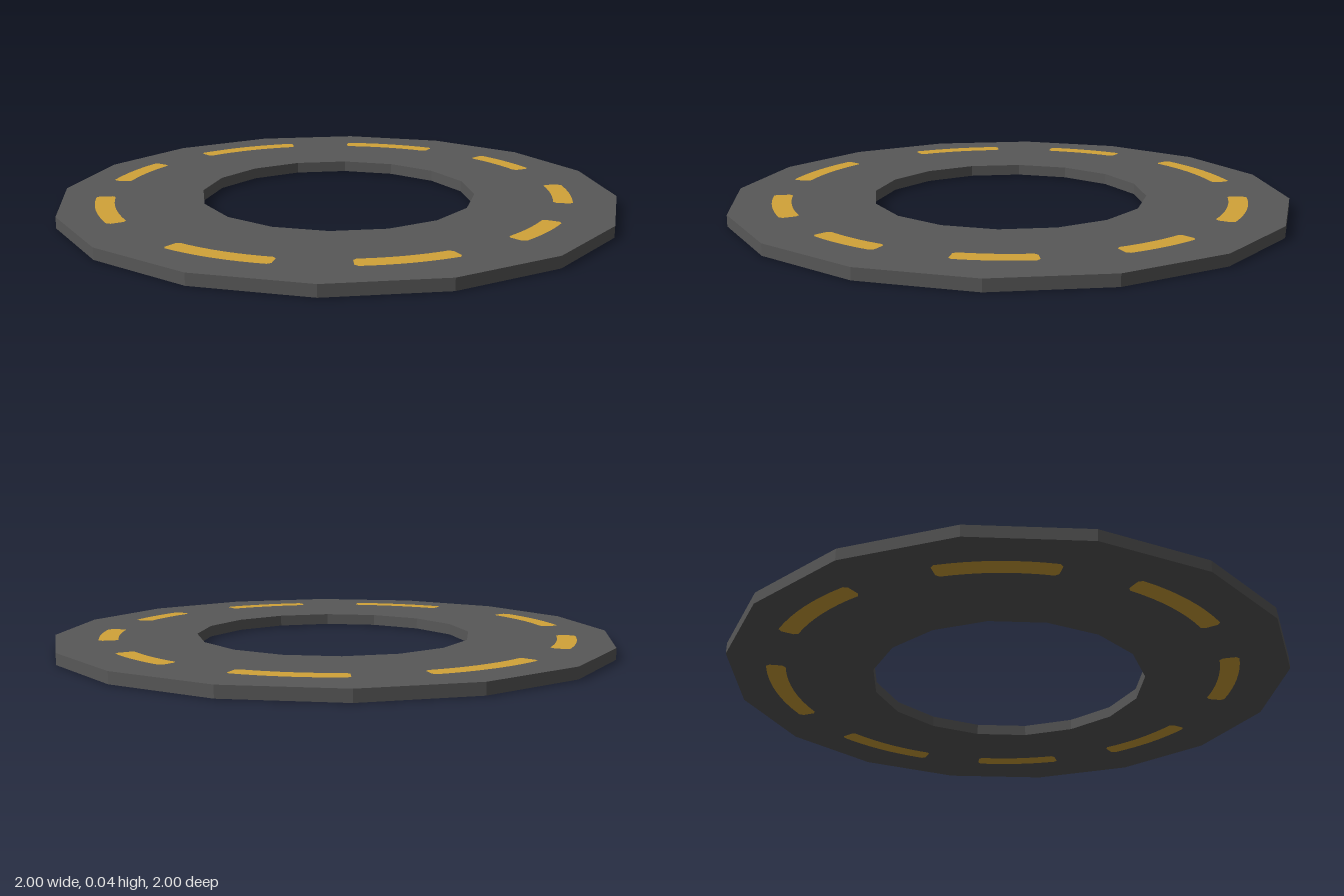
import * as THREE from 'three';

const TAU = Math.PI * 2;
const SIDES = 16;
const THICKNESS = 0.04;
const SKIN = 0.0015; // how far the painted dashes sit off the faces

const darkGrey = new THREE.MeshStandardMaterial({ name: 'darkGrey', color: 0x585858 });
const amber = new THREE.MeshStandardMaterial({ name: 'amber', color: 0xd2a338 });

// Regular polygon with a corner on the x axis
function polygon(radius) {
  return Array.from({ length: SIDES }, (_, i) => {
    const a = (i / SIDES) * TAU;
    return new THREE.Vector2(radius * Math.cos(a), radius * Math.sin(a));
  });
}

// Curved dash with clipped corners, between two angles in degrees
function dashShape(from, to, inner, outer) {
  const cut = 0.012;
  const steps = 8;
  const points = [];
  const add = (r, deg) => {
    const a = THREE.MathUtils.degToRad(deg);
    points.push(new THREE.Vector2(r * Math.cos(a), r * Math.sin(a)));
  };
  const arc = (r, a, b) => {
    for (let i = 0; i <= steps; i++) add(r, a + ((b - a) * i) / steps);
  };
  arc(outer, from + 0.8, to - 0.8);
  add(outer - cut, to);
  add(inner + cut, to);
  arc(inner, to - 0.8, from + 0.8);
  add(inner + cut, from);
  add(outer - cut, from);
  return new THREE.Shape(points);
}

// Angles run from +x towards +z
const topDashes = [
  [2, 20], [37, 60], [76.5, 102], [124.5, 149.5], [165.5, 186.5],
  [203, 231.5], [248, 273.5], [290, 309], [327, 345.5],
];
const bottomDashes = [
  [2.6, 28.6], [48.6, 74], [92, 120], [137, 164.3],
  [184, 211], [229.5, 261], [278.5, 306], [322, 345.5],
];

export function createModel() {
  const model = new THREE.Group();
  model.name = 'dashedRing';

  // Flat sixteen-sided ring
  const outline = new THREE.Shape(polygon(1));
  outline.holes.push(new THREE.Path(polygon(0.493)));
  const ringGeometry = new THREE.ExtrudeGeometry(outline, { depth: THICKNESS, bevelEnabled: false });
  ringGeometry.rotateX(-Math.PI / 2);
  const ring = new THREE.Mesh(ringGeometry, darkGrey);
  ring.name = 'ring';
  ring.position.y = SKIN;
  model.add(ring);

  // Dashes on the upper face
  const top = new THREE.Group();
  top.name = 'topDashes';
  top.position.set(-0.013, THICKNESS + 2 * SKIN, 0.006);
  for (const [from, to] of topDashes) {
    const geometry = new THREE.ShapeGeometry(dashShape(-to, -from, 0.782, 0.85));
    geometry.rotateX(-Math.PI / 2);
    const dash = new THREE.Mesh(geometry, amber);
    dash.name = 'topDash';
    top.add(dash);
  }
  model.add(top);

  // Dashes on the underside
  const bottom = new THREE.Group();
  bottom.name = 'bottomDashes';
  bottom.position.set(-0.03, 0, -0.006);
  for (const [from, to] of bottomDashes) {
    const geometry = new THREE.ShapeGeometry(dashShape(from, to, 0.772, 0.84));
    geometry.rotateX(Math.PI / 2);
    const dash = new THREE.Mesh(geometry, amber);
    dash.name = 'bottomDash';
    bottom.add(dash);
  }
  model.add(bottom);

  return model;
}
